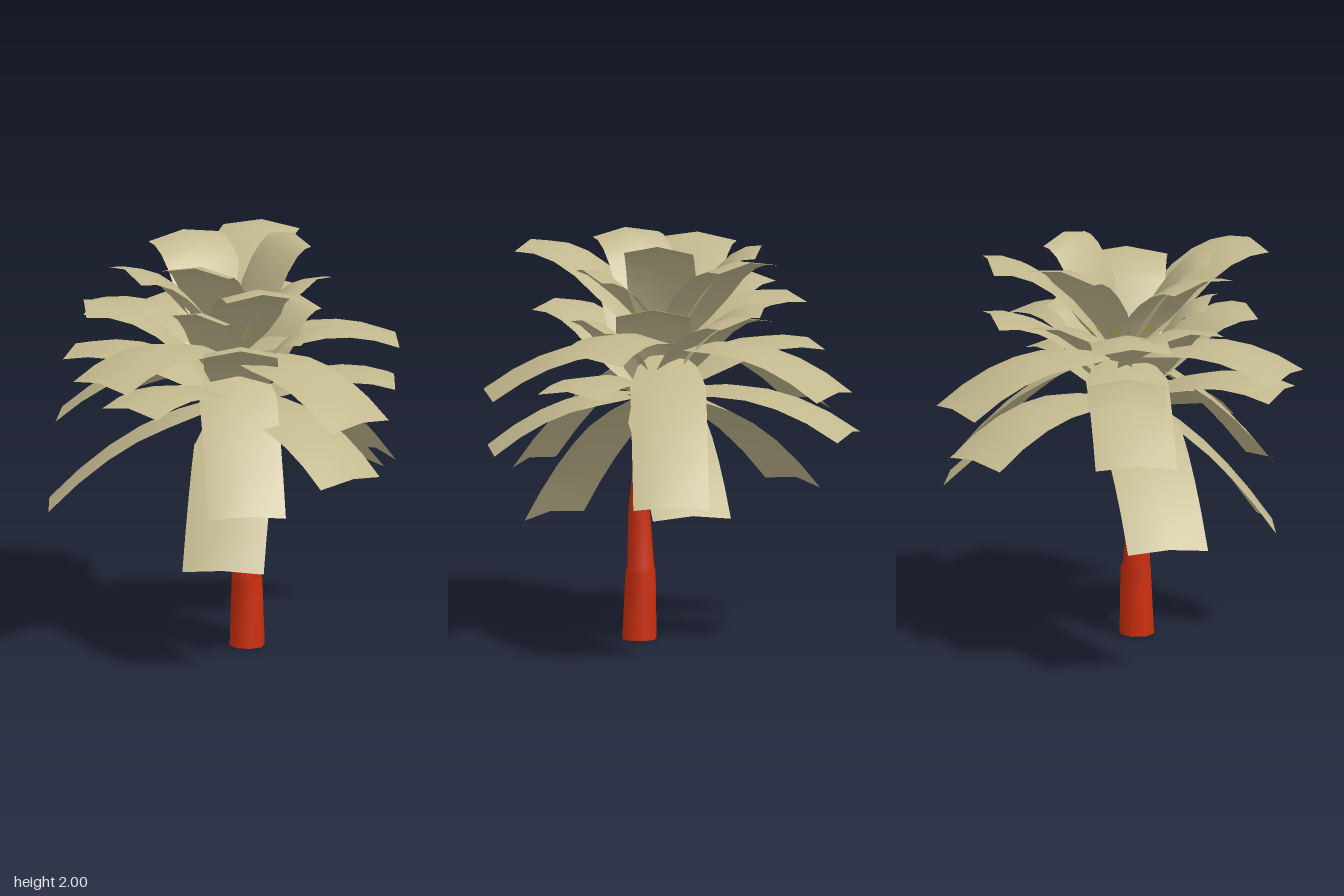
import * as THREE from 'three';

const bark = new THREE.MeshStandardMaterial({ color: 0xcb2e0c });
const leaf = new THREE.MeshStandardMaterial({ color: 0xc2b88e, side: THREE.DoubleSide });
const core = new THREE.MeshStandardMaterial({ color: 0x8a7a22, side: THREE.DoubleSide });
bark.name = 'red bark';
leaf.name = 'dry leaf';
core.name = 'olive core';

// Surface from rows of cross-section points, optionally closed round each row
function loft(rows, closed = false) {
  const n = rows[0].length, pos = [], idx = [];
  rows.forEach(r => r.forEach(p => pos.push(p.x, p.y, p.z)));
  for (let i = 0; i < rows.length - 1; i++) {
    for (let j = 0; j < (closed ? n : n - 1); j++) {
      const a = i * n + j, b = i * n + (j + 1) % n, c = a + n, d = b + n;
      idx.push(a, c, b, b, c, d);
    }
  }
  const g = new THREE.BufferGeometry();
  g.setAttribute('position', new THREE.Float32BufferAttribute(pos, 3));
  g.setIndex(idx);
  g.computeVertexNormals();
  return g;
}

// Round stem through rings of [x, y, z, radius]
function stem(rings, sides = 8) {
  return loft(rings.map(([x, y, z, r]) => Array.from({ length: sides }, (_, j) => {
    const a = (j + 0.5) / sides * Math.PI * 2;
    return new THREE.Vector3(x + r * Math.cos(a), y, z + r * Math.sin(a));
  })), true);
}

// Arched strip from base to tip with a raised centre line; rising strips level off at the tip
function blade(base, tip, width, fold, steps, baseWidth) {
  const run = Math.hypot(tip.x - base.x, tip.z - base.z);
  const mid = base.clone().lerp(tip, 0.5);
  mid.y = Math.max(mid.y + 0.25 * run, tip.y + 0.05 * run);
  const curve = new THREE.QuadraticBezierCurve3(base, mid, tip);
  const side = new THREE.Vector3(tip.z - base.z, 0, base.x - tip.x).normalize();
  const rows = [];
  for (let i = 0; i <= steps; i++) {
    const t = i / steps, p = curve.getPoint(t);
    const up = curve.getTangent(t).cross(side).normalize();
    const half = width / 2 * Math.min(1, baseWidth + t * 3.2);
    rows.push([-1, 0, 1].map(s => p.clone().addScaledVector(side, s * half)
      .addScaledVector(up, -Math.abs(s) * fold * half * 2 / width)));
  }
  return loft(rows);
}

// Two heads of fronds, one on each stalk; tips are [x, y, z, width]
const HEADS = [
  {
    name: 'lowerHead', base: [0, 1.22, 0.09], cup: 0.15, shoots: 0,
    tips: [
      [-0.72, 0.69, -0.52, 0.40], [0.85, 0.76, -0.21, 0.39], [-0.46, 0.54, 0.66, 0.40],
      [0.15, 0.97, 0.89, 0.39], [0.19, 1.08, -0.91, 0.36], [-0.79, 1.33, 0.32, 0.36],
      [-0.52, 1.42, -0.60, 0.38], [0.67, 1.33, 0.43, 0.37], [0.24, 1.61, 0.41, 0.42],
      [-0.33, 1.62, 0.62, 0.36], [-0.38, 1.74, 0.28, 0.34], [0.36, 1.69, 0.05, 0.36],
      [0.44, 1.67, -0.43, 0.36], [0.00, 1.67, -0.46, 0.40], [-0.67, 1.72, -0.28, 0.36]
    ]
  },
  {
    name: 'upperHead', base: [-0.01, 1.45, 0.03], cup: 0.12, shoots: 5,
    tips: [
      [0.90, 0.81, -0.11, 0.37], [-0.37, 0.82, 0.75, 0.38], [-0.59, 1.11, -0.61, 0.40],
      [0.20, 1.25, 0.90, 0.40], [-0.90, 1.45, 0.22, 0.38], [0.35, 1.30, -0.86, 0.36],
      [0.74, 1.51, 0.33, 0.38], [-0.48, 1.66, -0.50, 0.38], [0.24, 1.86, 0.41, 0.40],
      [-0.58, 1.92, -0.05, 0.40], [0.45, 1.95, -0.44, 0.38], [0.00, 1.96, -0.44, 0.40],
      [0.34, 2.00, 0.03, 0.34], [-0.27, 1.92, 0.73, 0.36], [-0.38, 1.97, 0.28, 0.36]
    ]
  }
];

export function createModel() {
  const model = new THREE.Group();
  const add = (geometry, material, name, parent = model) => {
    const m = new THREE.Mesh(geometry, material);
    m.name = name;
    parent.add(m);
    return m;
  };

  // Trunk, splitting into two stalks near the top
  add(stem([[-0.008, 0, 0.163, 0.087], [-0.005, 0.33, 0.157, 0.076], [-0.012, 0.36, 0.157, 0.068],
    [-0.018, 0.65, 0.166, 0.054], [-0.03, 0.85, 0.14, 0.058], [-0.04, 1.0, 0.115, 0.046],
    [0, 1.24, 0.11, 0.03]]), bark, 'trunk');
  add(stem([[-0.018, 0.65, 0.163, 0.05], [0.01, 0.88, 0.12, 0.046],
    [0.012, 1.05, 0.10, 0.042], [-0.01, 1.42, 0.02, 0.035]]), bark, 'secondStalk');
  const foot = add(new THREE.CircleGeometry(0.087, 8, Math.PI / 8), bark, 'trunkFoot');
  foot.rotation.x = Math.PI / 2;
  foot.position.set(-0.008, 0, 0.163);

  for (const { name, base, cup, shoots, tips } of HEADS) {
    const head = new THREE.Group();
    head.name = name;
    model.add(head);
    const [bx, by, bz] = base;

    // Fronds
    for (const [x, y, z, w] of tips) {
      const root = new THREE.Vector3(bx + x * 0.05, by, bz + z * 0.05);
      add(blade(root, new THREE.Vector3(x, y, z), w, 0.035, 6, 0.25), leaf, 'frond', head);
    }

    // Olive heart: a shallow cup under the fronds
    const bowl = add(new THREE.CylinderGeometry(cup, cup * 0.6, 0.03, 8), core, 'heartCup', head);
    bowl.position.set(bx, by - 0.015, bz);

    // Disc and bud showing between the upper fronds, with short shoots
    if (shoots) {
      const disc = add(new THREE.CylinderGeometry(0.09, 0.03, 0.05, 8), core, 'heartDisc', head);
      disc.position.set(bx - 0.01, by + 0.11, bz);
      const bud = add(new THREE.CylinderGeometry(0.028, 0.028, 0.15, 8), core, 'bud', head);
      bud.position.set(bx, by + 0.075, bz);
    }
    for (let i = 0; i < shoots; i++) {
      const a = Math.PI / 2 + i / shoots * Math.PI * 2;
      const tip = new THREE.Vector3(bx + 0.17 * Math.cos(a), by + 0.13, bz + 0.17 * Math.sin(a));
      add(blade(new THREE.Vector3(bx, by + 0.08, bz), tip, 0.05, 0.005, 3, 0.6), core, 'shoot', head);
    }
  }
  return model;
}
